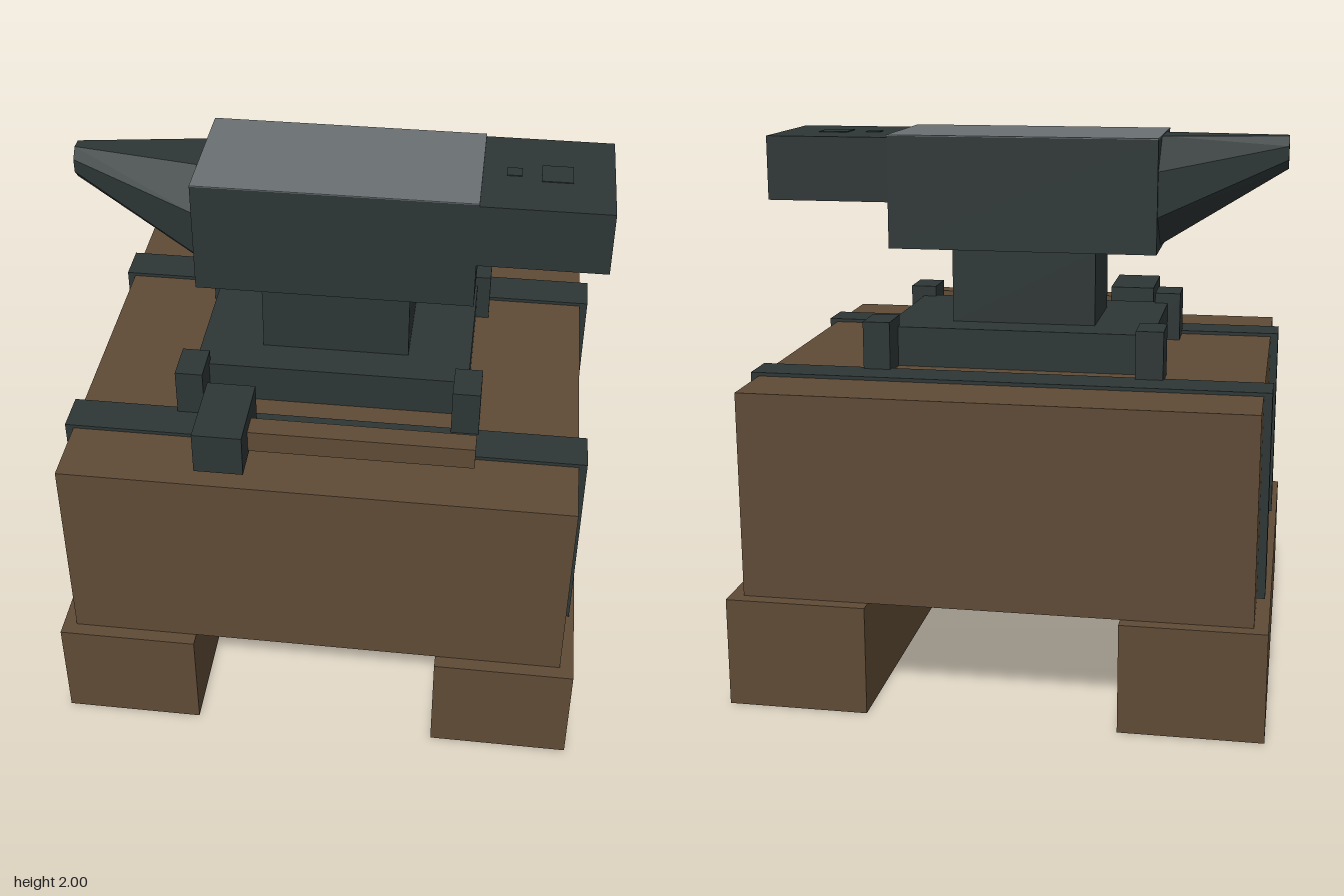
import * as THREE from 'three';

const wood = new THREE.MeshStandardMaterial({ color: 0x5e4a35 });
wood.name = 'wood';
const woodShell = new THREE.MeshStandardMaterial({ color: 0x5e4a35, side: THREE.DoubleSide });
woodShell.name = 'woodShell';
const iron = new THREE.MeshStandardMaterial({ color: 0x2d3535 });
iron.name = 'darkIron';
const steel = new THREE.MeshStandardMaterial({ color: 0x6a7073 });
steel.name = 'polishedSteel';

// Box given by its ranges on each axis
function box(name, material, [x0, x1], [y0, y1], [z0, z1]) {
  const mesh = new THREE.Mesh(new THREE.BoxGeometry(x1 - x0, y1 - y0, z1 - z0), material);
  mesh.position.set((x0 + x1) / 2, (y0 + y1) / 2, (z0 + z1) / 2);
  mesh.name = name;
  return mesh;
}

// Eight-sided tapering horn with a level top edge
function makeHorn() {
  const geo = new THREE.CylinderGeometry(1, 1, 1, 8, 1, false, Math.PI / 8).rotateZ(Math.PI / 2);
  const pos = geo.attributes.position;
  const k = 1 / Math.cos(Math.PI / 8);
  for (let i = 0; i < pos.count; i++) {
    const end = pos.getX(i) < 0
      ? { x: -0.96, y: 1.938, ry: 0.06, rz: 0.055 }
      : { x: -0.5, y: 1.797, ry: 0.2, rz: 0.23 };
    pos.setXYZ(i, end.x, end.y + pos.getY(i) * k * end.ry, pos.getZ(i) * k * end.rz);
  }
  const flat = geo.toNonIndexed();
  flat.computeVertexNormals();
  const mesh = new THREE.Mesh(flat, iron);
  mesh.name = 'horn';
  return mesh;
}

export function createModel() {
  const model = new THREE.Group();
  model.name = 'anvilOnStand';

  // Wooden stand: block on two hollow feet, open underneath
  const stand = new THREE.Group();
  stand.name = 'stand';
  stand.add(box('block', wood, [-0.91, 0.91], [0.4, 1.152], [-0.83, 0.83]));
  for (const [name, x0, x1] of [['rightFoot', -0.96, -0.45], ['leftFoot', 0.45, 0.96]]) {
    const foot = box(name, woodShell, [x0, x1], [0, 0.4], [-0.88, 0.88]);
    const index = Array.from(foot.geometry.index.array);
    index.splice(18, 6); // drop the underside
    foot.geometry.setIndex(index);
    foot.geometry.clearGroups();
    stand.add(foot);
  }

  // Iron straps over the block
  for (const s of [-1, 1]) {
    const z = [s * 0.5 - 0.075, s * 0.5 + 0.075];
    const strap = new THREE.Group();
    strap.name = s > 0 ? 'frontStrap' : 'backStrap';
    strap.add(
      box('strapTop', iron, [-0.94, 0.94], [1.15, 1.165], z),
      box('strapLeftSide', iron, [0.91, 0.94], [0.41, 1.15], z),
      box('strapRightSide', iron, [-0.94, -0.91], [0.41, 1.15], z),
    );
    stand.add(strap);
  }
  model.add(stand);

  // Anvil
  const anvil = new THREE.Group();
  anvil.name = 'anvil';
  anvil.add(
    box('anvilBase', iron, [-0.5, 0.5], [1.15, 1.3], [-0.327, 0.327]),
    box('waist', iron, [-0.27, 0.27], [1.3, 1.58], [-0.187, 0.187]),
    box('anvilBody', iron, [-0.5, 0.5], [1.58, 1.996], [-0.247, 0.247]),
    box('facePlate', steel, [-0.5, 0.5], [1.996, 2], [-0.247, 0.247]),
    box('heel', iron, [0.5, 0.96], [1.752, 1.99], [-0.247, 0.247]),
    box('squareHole', iron, [0.705, 0.815], [1.988, 1.993], [-0.055, 0.055]),
    box('smallHole', iron, [0.583, 0.637], [1.988, 1.993], [-0.027, 0.027]),
    makeHorn(),
  );
  model.add(anvil);

  // Clamps at the corners of the anvil base
  for (const sx of [-1, 1]) for (const sz of [-1, 1]) {
    const clamp = box('clamp', iron, [-0.05, 0.05], [1.15, 1.34], [-0.075, 0.075]);
    clamp.position.x = sx * 0.5;
    clamp.position.z = sz * 0.375;
    model.add(clamp);
  }

  // Hammer lying on the stand
  const hammer = new THREE.Group();
  hammer.name = 'hammer';
  hammer.add(
    box('hammerHead', iron, [-0.427, -0.252], [1.168, 1.328], [0.475, 0.775]),
    box('hammerHandle', wood, [-0.3, 0.547], [1.187, 1.27], [0.584, 0.666]),
  );
  model.add(hammer);

  return model;
}
